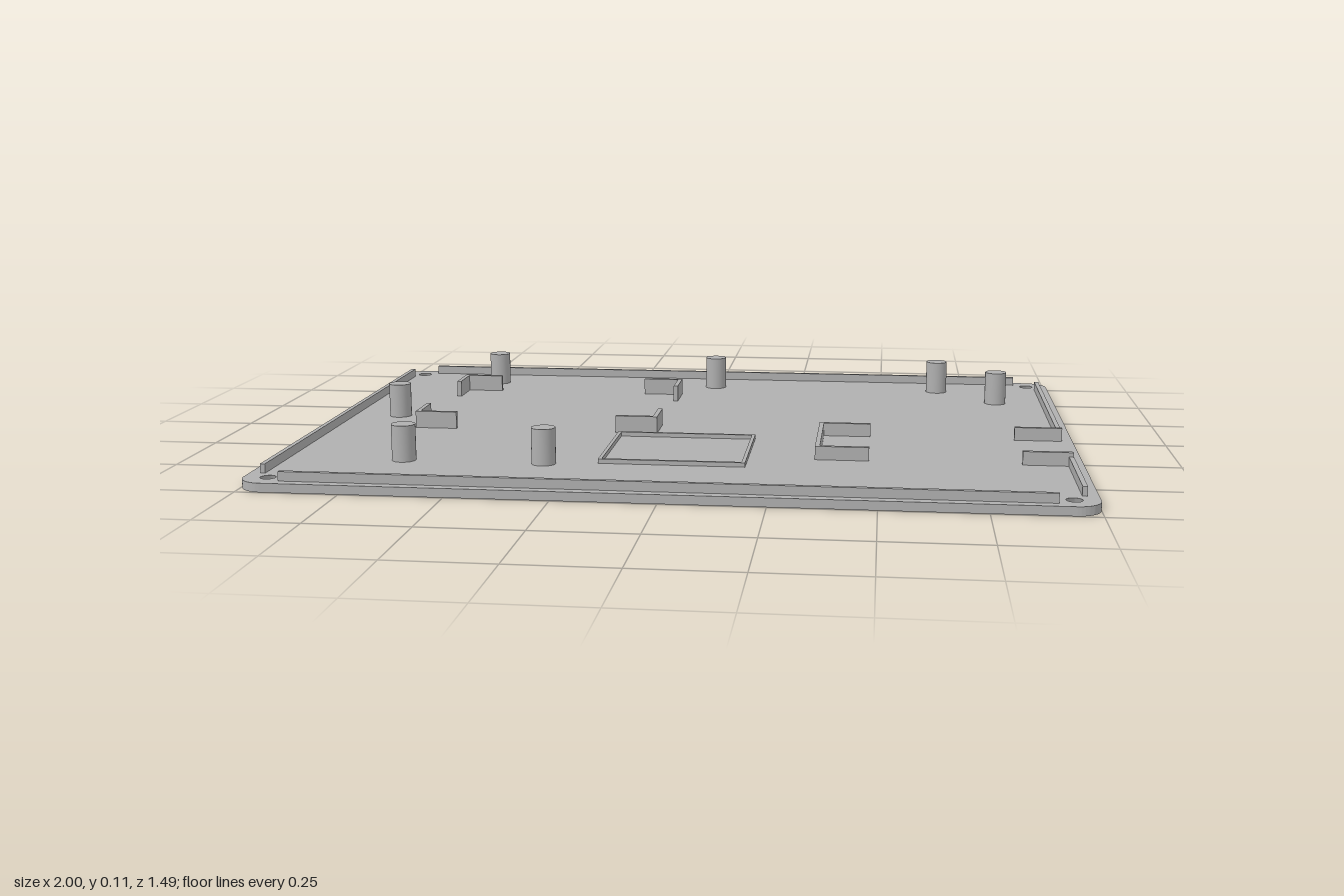
import * as THREE from 'three';
import { toCreasedNormals } from 'three/addons/utils/BufferGeometryUtils.js';

const BASE = 0.022; // plate thickness

export function createModel() {
  const model = new THREE.Group();
  model.name = 'enclosureLid';
  const grey = new THREE.MeshStandardMaterial({ color: 0xb0b0b0 });
  grey.name = 'grey plastic';

  const add = (name, geometry) => {
    const mesh = new THREE.Mesh(geometry, grey);
    mesh.name = name;
    model.add(mesh);
    return mesh;
  };
  // Wall on the plate, given by its x range, z range and top height
  const wall = (name, x0, x1, z0, z1, top) => {
    const y0 = BASE - 0.002;
    add(name, new THREE.BoxGeometry(x1 - x0, top - y0, z1 - z0))
      .position.set((x0 + x1) / 2, (y0 + top) / 2, (z0 + z1) / 2);
  };

  // Base plate with rounded corners and four screw holes
  const W = 1, D = 0.747, R = 0.06;
  const outline = new THREE.Shape();
  outline.absarc(W - R, D - R, R, 0, Math.PI / 2);
  outline.absarc(-W + R, D - R, R, Math.PI / 2, Math.PI);
  outline.absarc(-W + R, -D + R, R, Math.PI, Math.PI * 1.5);
  outline.absarc(W - R, -D + R, R, Math.PI * 1.5, Math.PI * 2);
  outline.closePath();
  const holeX = 0.94, holeZ = 0.687, holeR = 0.019;
  for (const sx of [-1, 1]) for (const sz of [-1, 1]) {
    const hole = new THREE.Path();
    hole.absarc(sx * holeX, sz * holeZ, holeR, 0, Math.PI * 2, true);
    outline.holes.push(hole);
  }
  let plate = new THREE.ExtrudeGeometry(outline, { depth: BASE, bevelEnabled: false, curveSegments: 16 });
  plate.rotateX(-Math.PI / 2);
  // Countersink: widen each hole at the underside
  const p = plate.attributes.position;
  for (let i = 0; i < p.count; i++) {
    const cx = Math.sign(p.getX(i)) * holeX, cz = Math.sign(p.getZ(i)) * holeZ;
    const dx = p.getX(i) - cx, dz = p.getZ(i) - cz;
    if (p.getY(i) < 0.001 && Math.hypot(dx, dz) < holeR * 1.1) {
      p.setX(i, cx + dx * 1.5);
      p.setZ(i, cz + dz * 1.5);
    }
  }
  plate = toCreasedNormals(plate, 0.6);
  add('basePlate', plate);

  // Rim lips just inside the edge; the +x one has a gap
  const lipTop = 0.045;
  for (const s of [-1, 1]) wall('rimLip', -0.903, 0.903, s * 0.716 - 0.006, s * 0.716 + 0.006, lipTop);
  wall('rimLip', -0.973, -0.961, -0.65, 0.65, lipTop);
  wall('rimLip', 0.961, 0.973, -0.65, 0.07, lipTop);
  wall('rimLip', 0.961, 0.973, 0.352, 0.65, lipTop);

  // Standoff pegs
  const pegs = [[-0.67, -0.582], [0, -0.582], [0.665, -0.582], [0.83, -0.422],
    [-0.833, -0.055], [-0.67, 0.473], [-0.318, 0.473]];
  for (const [x, z] of pegs) {
    add('standoffPeg', new THREE.CylinderGeometry(0.03, 0.03, 0.093, 32)).position.set(x, 0.0665, z);
  }

  // Four L-shaped corner brackets around a board bay
  const t = 0.012, leg = 0.112, top = 0.067;
  for (const [x, sx] of [[-0.746, 1], [-0.088, -1]]) {
    for (const [z, sz] of [[-0.457, 1], [0.1, -1]]) {
      const span = (a, s, len) => (s > 0 ? [a, a + len] : [a - len, a]);
      wall('cornerBracket', ...span(x, sx, leg), ...span(z, sz, t), top);
      wall('cornerBracket', ...span(x, sx, t), ...span(z + sz * t, sz, leg - t), top);
    }
  }

  // C-shaped side bracket and the two stubs facing it
  const low = 0.056;
  wall('sideBracket', 0.342, 0.354, 0.065, 0.358, low);
  for (const z of [0.065, 0.346]) {
    wall('sideBracket', 0.354, 0.476, z, z + t, low);
    wall('sideStub', 0.85, 0.972, z, z + t, low);
  }

  // Low rectangular locating frame
  const f = 0.009, frameTop = 0.033;
  for (const z of [0.134, 0.449]) wall('locatingFrame', -0.186, 0.177, z, z + f, frameTop);
  for (const x of [-0.186, 0.168]) wall('locatingFrame', x, x + f, 0.143, 0.449, frameTop);

  return model;
}
